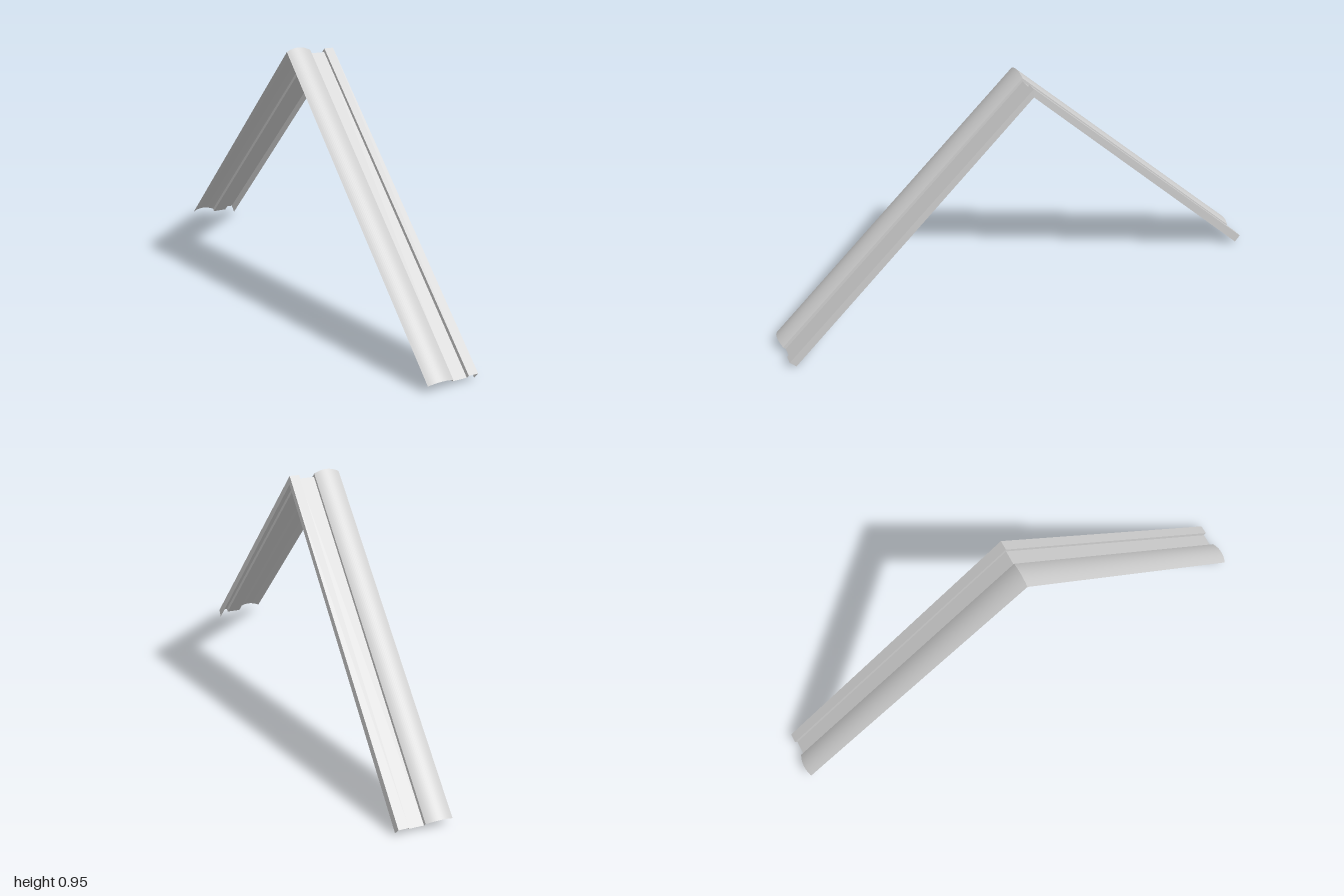
import * as THREE from 'three';

const APEX = 0.953, EAVE = 0.034;
const ANGLE = Math.atan2(APEX - EAVE, 1);

// Profile strips: [x, depth below the crest]
const roll = [];
for (let i = 0; i <= 16; i++) {
  const t = i / 8 - 1;
  roll.push([-0.049 + 0.049 * t, 0.0133 * t * t]);
}
const strips = {
  roll,
  rollWall: [[0, 0.0133], [0.001, 0.0264]],
  channel: [[0.001, 0.0264], [0.059, 0.0264]],
  ribWall: [[0.059, 0.0264], [0.06, 0.0126]],
  rib: [[0.06, 0.0126], [0.097, 0.0126]],
  edgeLip: [[0.097, 0.0126], [0.098, 0.046]],
};

// Sweeps one strip from the ridge down to the eave on one side
function sweep(points, side) {
  const pos = [], index = [];
  for (const [x, d] of points) {
    pos.push(x, APEX - d, 0);
    pos.push(x, EAVE - d * Math.cos(ANGLE), side * (1 - d * Math.sin(ANGLE)));
  }
  for (let i = 0; i < points.length - 1; i++) {
    const a = 2 * i, b = a + 1, c = a + 2, e = a + 3;
    if (side > 0) index.push(a, b, c, b, e, c);
    else index.push(a, c, b, b, c, e);
  }
  const g = new THREE.BufferGeometry();
  g.setAttribute('position', new THREE.Float32BufferAttribute(pos, 3));
  g.setIndex(index);
  g.computeVertexNormals();
  return g;
}

export function createModel() {
  const model = new THREE.Group();
  model.name = 'ridgeTile';
  const material = new THREE.MeshStandardMaterial({ color: 0xcccccc, side: THREE.DoubleSide });
  for (const [legName, side] of [['frontSlope', 1], ['backSlope', -1]]) {
    const leg = new THREE.Group();
    leg.name = legName;
    for (const [name, points] of Object.entries(strips)) {
      const mesh = new THREE.Mesh(sweep(points, side), material);
      mesh.name = name;
      leg.add(mesh);
    }
    model.add(leg);
  }
  return model;
}
